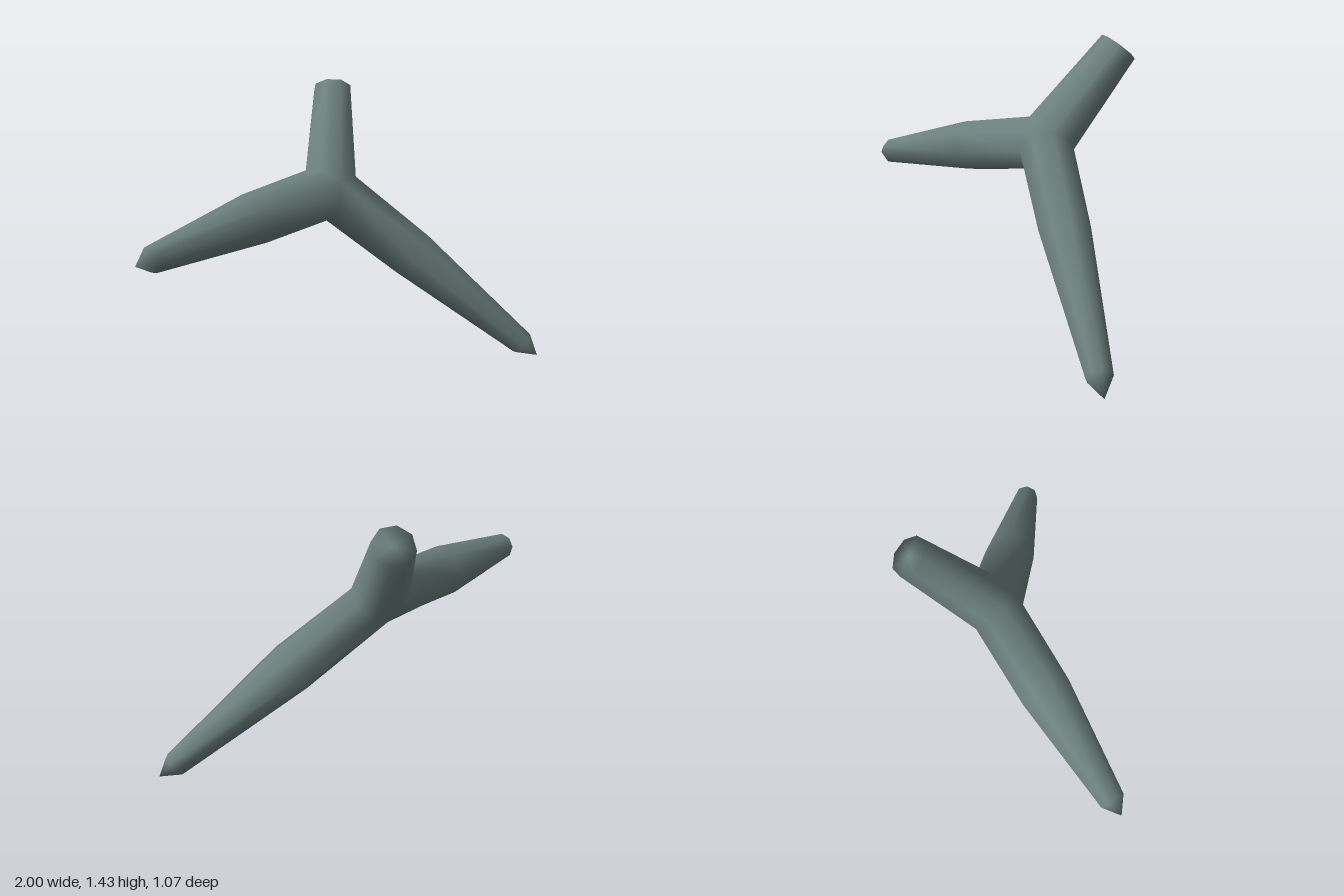
import * as THREE from 'three';
import { mergeVertices, mergeGeometries } from 'three/addons/utils/BufferGeometryUtils.js';

const SIDES = 8;
const V = (x, y, z) => new THREE.Vector3(x, y, z);

// All three arms lie in one tilted plane, 120 degrees apart
const hub = V(0.15, 0.908, -0.175);
const normal = V(-0.084, 0.538, 0.839).normalize();
const firstAxis = V(-0.988, -0.155, 0).projectOnPlane(normal).normalize();

// One tapering arm: mitred ring at the hub, round rings along it, closing point
function armGeometry(turn, rings, tip) {
  const axis = firstAxis.clone().applyAxisAngle(normal, turn);
  const side = normal.clone().cross(axis);
  const pos = [], index = [];
  const add = (centre, s, h, t) => {
    const p = centre.clone().addScaledVector(side, s).addScaledVector(normal, h).addScaledVector(axis, t);
    pos.push(p.x, p.y, p.z);
  };
  const eachSide = (fn) => {
    for (let i = 0; i < SIDES; i++) {
      const a = (i / SIDES) * Math.PI * 2;
      fn(Math.cos(a), Math.sin(a));
    }
  };
  eachSide((c, s) => add(hub, 0.14 * c, s * (0.14 - 0.022 * s * s * s * s), (0.14 * Math.abs(c)) / Math.sqrt(3)));
  for (const [centre, r] of rings) eachSide((c, s) => add(centre, r * c, r * s, 0));
  add(tip, 0, 0, 0);

  const last = rings.length * SIDES, end = last + SIDES;
  for (let i = 0; i < SIDES; i++) {
    const j = (i + 1) % SIDES;
    for (let k = 0; k < last; k += SIDES) {
      index.push(k + i, k + j, k + SIDES + j, k + i, k + SIDES + j, k + SIDES + i);
    }
    index.push(last + i, last + j, end);
  }
  const g = new THREE.BufferGeometry();
  g.setAttribute('position', new THREE.Float32BufferAttribute(pos, 3));
  g.setIndex(index);
  return g;
}

export function createModel() {
  const group = new THREE.Group();
  group.name = 'forkedLimb';
  const greyGreen = new THREE.MeshStandardMaterial({ color: 0x6c807e });
  greyGreen.name = 'greyGreen';

  const third = (Math.PI * 2) / 3;
  const arms = [
    // side arm, pointed
    armGeometry(0, [[V(-0.33, 0.84, -0.175), 0.133], [V(-0.92, 0.745, -0.175), 0.066]], V(-1, 0.73, -0.175)),
    // long forward arm, pointed
    armGeometry(third, [[V(0.475, 0.567, 0.1), 0.128], [V(0.937, 0.068, 0.48), 0.064]], V(1, 0, 0.535)),
    // short upper arm, cut flat
    armGeometry(-third, [[V(0.393, 1.376, -0.45), 0.1]], V(0.393, 1.376, -0.45)),
  ];

  // Weld the arms at the hub so the shading runs smoothly across the joint
  const geometry = mergeVertices(mergeGeometries(arms), 1e-3);
  geometry.computeVertexNormals();
  const limb = new THREE.Mesh(geometry, greyGreen);
  limb.name = 'limb';
  group.add(limb);
  return group;
}
